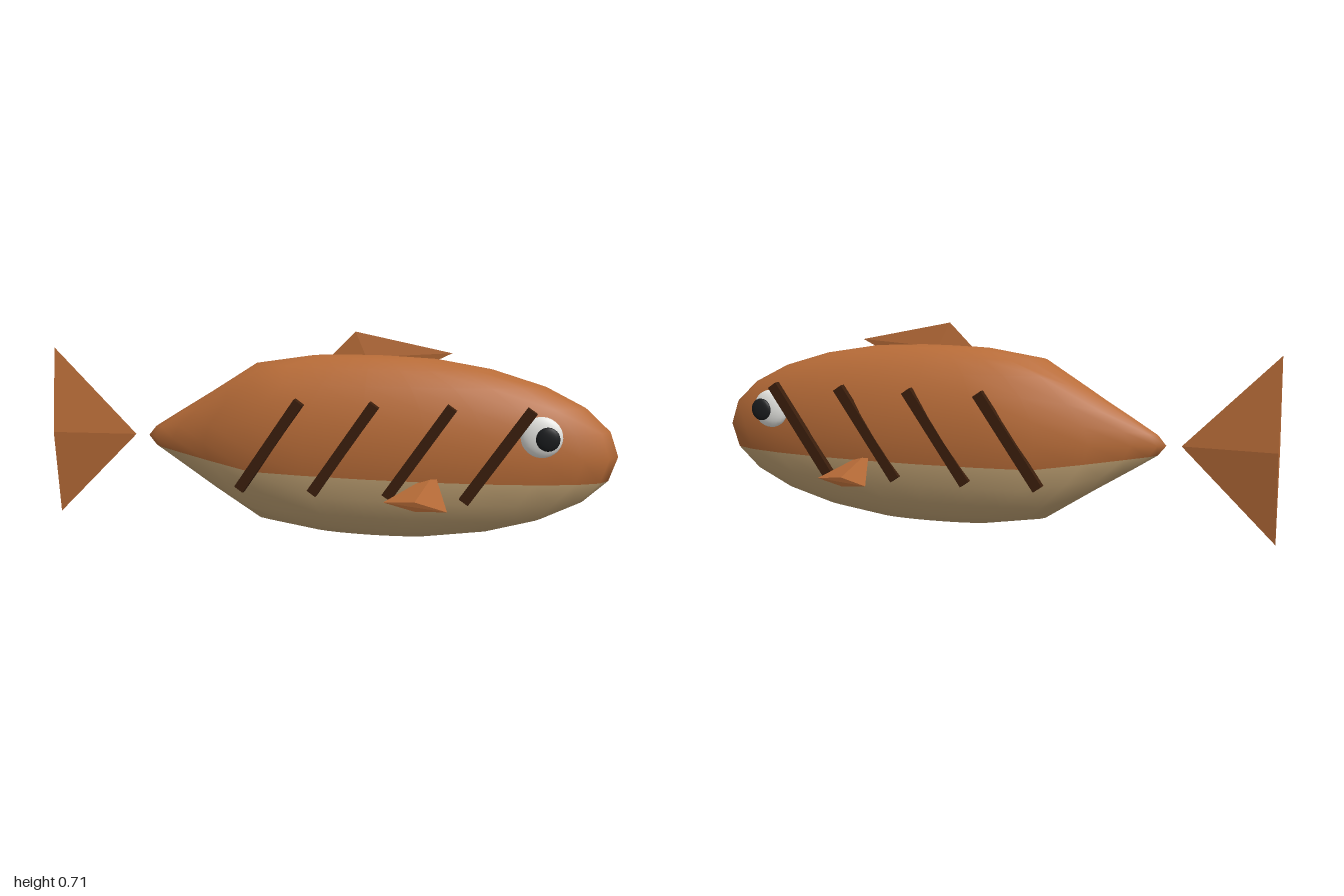
import * as THREE from 'three';
import { mergeVertices } from 'three/addons/utils/BufferGeometryUtils.js';
import { ConvexGeometry } from 'three/addons/geometries/ConvexGeometry.js';

const material = (name, color) => {
  const m = new THREE.MeshStandardMaterial({ color });
  m.name = name;
  return m;
};

export function createModel() {
  const model = new THREE.Group();
  model.name = 'fish';

  const orange = material('copper orange', 0xb86c38);
  const cream = material('belly cream', 0xc4a576);
  const brown = material('stripe brown', 0x3b1e0c);
  const white = material('eye white', 0xf0f0ec);
  const black = material('pupil black', 0x1a1c1e);

  const add = (name, geometry, mat, x = 0, y = 0, z = 0) => {
    const mesh = new THREE.Mesh(geometry, mat);
    mesh.name = name;
    mesh.position.set(x, y, z);
    model.add(mesh);
    return mesh;
  };
  // Flat-sided fin spanning the given corner points
  const fin = (name, corners) =>
    add(name, new ConvexGeometry(corners.map((c) => new THREE.Vector3(...c))), orange);

  // Body: ellipsoid whose rear tapers in to a pointed tail
  let body = new THREE.SphereGeometry(1, 24, 12);
  const p = body.attributes.position;
  for (let i = 0; i < p.count; i++) {
    const x = p.getX(i);
    const s = x < -0.5 ? 1 + 1.25 * (x + 0.5) : 1;
    p.setXYZ(i, x * 0.82, p.getY(i) * 0.317 * s, p.getZ(i) * 0.1765 * s);
  }
  body.deleteAttribute('uv');
  body.deleteAttribute('normal');
  body = mergeVertices(body, 1e-5);
  body.computeVertexNormals();
  // The lowest five rings are the belly
  const split = 3 * (24 + 6 * 48);
  body.clearGroups();
  body.addGroup(0, split, 0);
  body.addGroup(split, body.index.count - split, 1);
  add('body', body, [orange, cream], 0.18, 0.319, 0);

  // Tail fin: flattened four-sided spike
  fin('tailFin', [
    [-0.69, 0.32, 0], [-1, 0.627, 0], [-1, 0.013, 0], [-1, 0.32, 0.036], [-1, 0.32, -0.036],
  ]);

  // Dorsal fin
  fin('dorsalFin', [
    [0.12, 0.71, 0], [0.02, 0.61, 0], [0.45, 0.645, 0], [0.38, 0.61, 0],
    [0.16, 0.625, 0.013], [0.16, 0.625, -0.013],
  ]);

  // Side fins: the right one is the left one turned half round
  const sideFin = [
    [0.416, 0.264, 0.134], [0.26, 0.176, 0.22], [0.48, 0.178, 0.304],
    [0.37, 0.162, 0.26], [0.37, 0.193, 0.262],
  ];
  fin('frontSideFin', sideFin);
  fin('backSideFin', sideFin.map(([x, y, z]) => [0.79 - x, y, -z]));

  for (const side of [1, -1]) {
    // Slanted stripes
    for (let i = 0; i < 4; i++) {
      const stripe = add('stripe', new THREE.BoxGeometry(0.374, 0.036, 0.025), brown,
        -0.143 + i * 0.255, 0.333, side * 0.1625);
      stripe.rotation.z = 0.97;
    }
    // Eyes
    add('eye', new THREE.SphereGeometry(1, 20, 14), white, 0.757, 0.398, side * 0.133)
      .scale.set(0.067, 0.067, 0.025);
    add('pupil', new THREE.SphereGeometry(1, 16, 12), black, 0.778, 0.398, side * 0.165)
      .scale.set(0.038, 0.039, 0.012);
  }
  return model;
}
